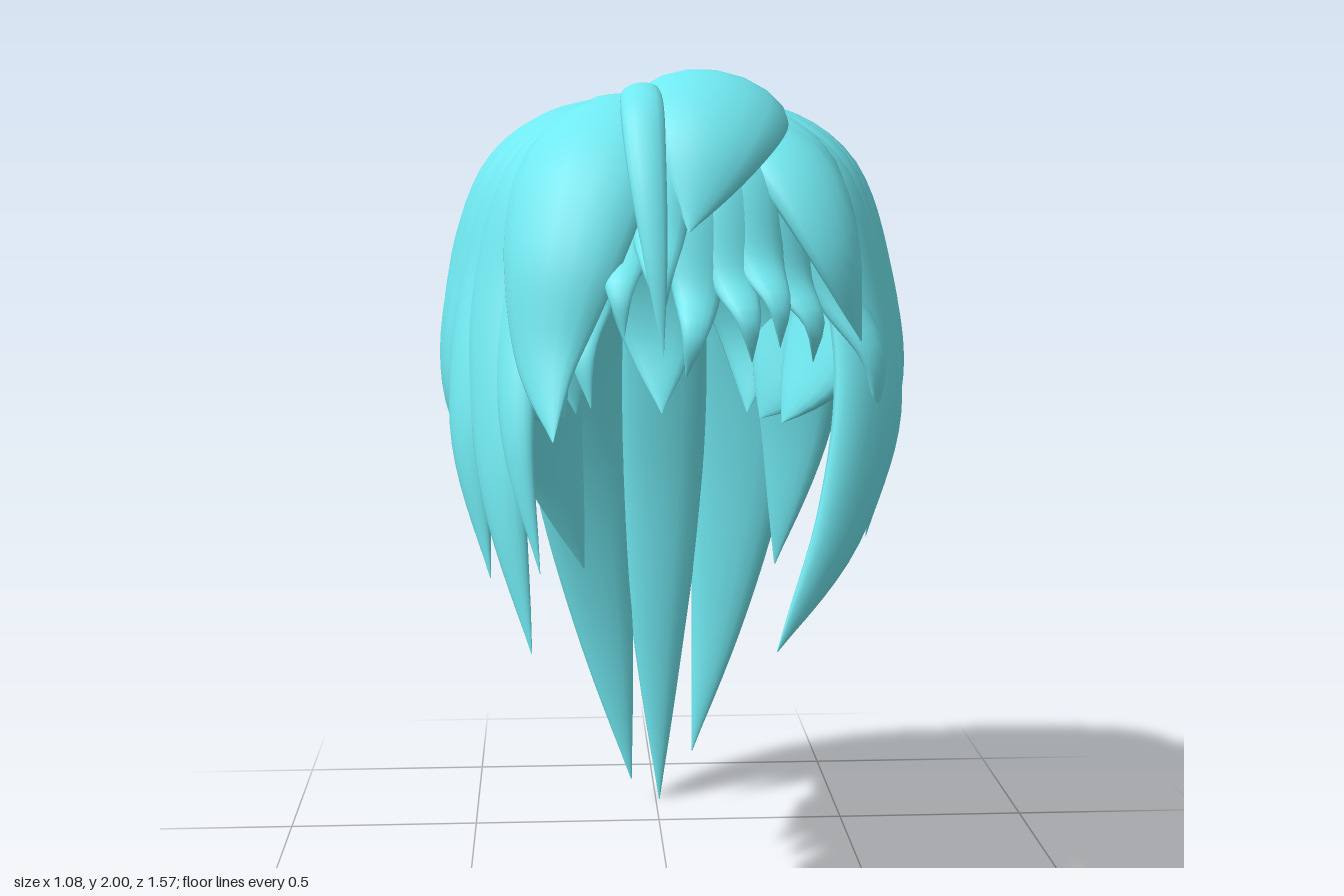
import * as THREE from 'three';

const material = new THREE.MeshStandardMaterial({ color: 0x70e8f0, side: THREE.DoubleSide });
const V = (x, y, z) => new THREE.Vector3(x, y, z);

// A tapering lock of hair swept along a path, its broad side facing away from the head
function lock(name, points, width, thick, peak = 0.48) {
  const rows = 32, sides = 16, pos = [], index = [];
  const curve = new THREE.CatmullRomCurve3(points.map(p => V(...p)), false, 'centripetal');
  for (let i = 0; i <= rows; i++) {
    const t = i / rows;
    const p = curve.getPointAt(t), tangent = curve.getTangentAt(t);
    const out = V(p.x, Math.max(0, p.y - 1.35), p.z - 0.03);
    out.addScaledVector(tangent, -out.dot(tangent)).normalize();
    const side = new THREE.Vector3().crossVectors(out, tangent);
    const grow = Math.pow(Math.sin(Math.min(1, t / peak) * Math.PI / 2), 0.65);
    const fade = t > peak ? 1 - Math.pow((t - peak) / (1 - peak), 1.6) : 1;
    const k = Math.max(0.01, grow * fade);
    for (let j = 0; j < sides; j++) {
      const a = j / sides * Math.PI * 2;
      const s = Math.cos(a) * width * k;
      const h = Math.sin(a) * thick * k - 0.9 * s * s;
      const q = p.clone().addScaledVector(side, s).addScaledVector(out, h);
      pos.push(q.x, q.y, q.z);
      if (i < rows) {
        const b = i * sides + j, c = i * sides + (j + 1) % sides;
        index.push(b, c, b + sides, c, c + sides, b + sides);
      }
    }
  }
  const geo = new THREE.BufferGeometry();
  geo.setAttribute('position', new THREE.Float32BufferAttribute(pos, 3));
  geo.setIndex(index);
  geo.computeVertexNormals();
  const mesh = new THREE.Mesh(geo, material);
  mesh.name = name;
  return mesh;
}

// Path from the crown over the scalp at an angle (0 = front, 90 = left) down to a tip
function scalpPath(angle, tip, scale = 1) {
  const a = angle * Math.PI / 180, dx = Math.sin(a), dz = Math.cos(a);
  const r = scale / Math.hypot(dx / 0.5, dz / (dz > 0 ? 0.55 : 0.62));
  const at = (f, y) => [dx * r * f, y, 0.05 + dz * r * f];
  const shoulder = at(0.97, Math.max(1.52, tip[1] + 0.17));
  const mid = shoulder.map((v, i) => (v + tip[i]) / 2);
  mid[0] += dx * 0.045;
  mid[2] += dz * 0.045;
  return [at(-0.04, 1.87), at(0.4, 1.9), at(0.78, 1.79), shoulder, mid, tip];
}

export function createModel() {
  const hair = new THREE.Group();
  hair.name = 'hair';
  const group = name => {
    const g = new THREE.Group();
    g.name = name;
    hair.add(g);
    return g;
  };

  // Three long locks hanging down the back
  const back = group('backHair');
  back.add(lock('backLockCentre', [[0, 1.86, 0.05], [0.02, 1.935, -0.18], [0.03, 1.79, -0.45],
    [0.03, 1.46, -0.63], [0.02, 1, -0.71], [0.01, 0.5, -0.71], [0.01, 0, -0.68]], 0.135, 0.075));
  back.add(lock('backLockRight', [[-0.02, 1.86, 0.05], [-0.12, 1.92, -0.18], [-0.2, 1.77, -0.43],
    [-0.23, 1.41, -0.61], [-0.21, 1, -0.69], [-0.15, 0.55, -0.7], [-0.07, 0.07, -0.65]], 0.16, 0.075));
  back.add(lock('backLockLeft', [[0.02, 1.86, 0.05], [0.13, 1.925, -0.18], [0.22, 1.77, -0.43],
    [0.25, 1.41, -0.61], [0.24, 1, -0.69], [0.18, 0.55, -0.7], [0.1, 0.15, -0.65]], 0.16, 0.075));

  // Short inner locks at the nape
  for (const [angle, x] of [[180, 0], [152, 0.22], [-152, -0.22]])
    back.add(lock('napeLock', scalpPath(angle, [x, 1.15, -0.34], 0.84), 0.16, 0.05, 0.6));

  // Side locks, mirrored: angle, tip, half width, half thickness, widest point, reach
  const sides = [
    [71, [0.44, 1.06, 0.24], 0.085, 0.05, 0.6, 0.98],
    [82, [0.44, 1.03, 0.12], 0.075, 0.055, 0.6, 0.965],
    [92, [0.43, 1.06, 0.02], 0.08, 0.05, 0.6, 0.975],
    [102, [0.4, 1.08, -0.07], 0.1, 0.055, 0.65, 0.985],
    [114, [0.29, 1.15, -0.15], 0.16, 0.06, 0.8, 1],
    [126, [0.25, 1.14, -0.3], 0.17, 0.055, 0.8, 1],
  ];
  for (const s of [1, -1]) {
    const g = group(s > 0 ? 'leftSideHair' : 'rightSideHair');
    for (const [angle, [x, y, z], w, t, peak, reach] of sides)
      g.add(lock('sideLock', scalpPath(angle * s, [x * s, y, z], reach), w, t, peak));
    g.add(lock('rearSideLock', scalpPath(131 * s, [0.33 * s, 1.17, -0.54], 1.04), 0.17, 0.06, 0.55));
  }

  // Locks that differ between the two sides
  const loose = group('templeHair');
  loose.add(lock('templeLockRight', scalpPath(-50, [-0.33, 0.76, 0.6]), 0.1, 0.045));
  loose.add(lock('templeLockRightInner', scalpPath(-42, [-0.31, 0.94, 0.62]), 0.07, 0.035));
  loose.add(lock('cheekLockRight', scalpPath(-61, [-0.42, 0.9, 0.47], 0.98), 0.09, 0.05, 0.55));
  loose.add(lock('templeLockLeft', [...scalpPath(54, [0.36, 1.06, 0.51]).slice(0, 4),
    [0.42, 1.28, 0.42], [0.35, 1.02, 0.51], [0.2, 0.76, 0.61]], 0.115, 0.045, 0.58));
  loose.add(lock('cheekLockLeft', scalpPath(63, [0.42, 0.97, 0.4], 0.98), 0.09, 0.05, 0.55));
  loose.add(lock('browLockLeft', scalpPath(45, [0.43, 1.24, 0.46], 0.98), 0.1, 0.05));
  loose.add(lock('rearLockRight', scalpPath(-141, [-0.2, 0.69, -0.59], 1.08), 0.19, 0.065));
  loose.add(lock('rearLockLeft', scalpPath(141, [0.32, 0.7, -0.57], 1.06), 0.17, 0.065));

  // Fringe: pointed locks below broad swept ones
  const fringe = group('fringe');
  for (const [angle, x, y, z] of [[-23, -0.2, 1.3, 0.65], [-14, -0.13, 1.45, 0.66],
    [-6, -0.05, 1.48, 0.64], [3, 0.0, 1.36, 0.63], [12, 0.14, 1.39, 0.62],
    [19, 0.2, 1.42, 0.61], [28, 0.28, 1.38, 0.53]])
    fringe.add(lock('fringePoint', scalpPath(angle, [x, y, z], 0.97), 0.07, 0.03, 0.62));
  fringe.add(lock('fringeLockRight', [[0, 1.87, 0.04], [-0.09, 1.915, 0.22], [-0.2, 1.82, 0.42],
    [-0.26, 1.62, 0.55], [-0.29, 1.4, 0.62], [-0.28, 1.24, 0.72]], 0.165, 0.055));
  fringe.add(lock('fringeLockLeft', [[0.02, 1.87, 0.04], [0.14, 1.89, 0.2], [0.26, 1.78, 0.4],
    [0.33, 1.62, 0.49], [0.39, 1.42, 0.49]], 0.12, 0.05));
  fringe.add(lock('sweptTopLock', [[0, 1.87, 0.02], [0.07, 1.94, 0.15], [0.08, 1.94, 0.32],
    [0.06, 1.85, 0.46], [0.01, 1.66, 0.57]], 0.17, 0.055, 0.5));

  // Loose strand arching forward from the top
  hair.add(lock('strand', [[-0.09, 1.88, 0.36], [-0.09, 1.95, 0.46], [-0.09, 1.93, 0.58],
    [-0.085, 1.81, 0.68], [-0.07, 1.62, 0.755], [-0.055, 1.42, 0.785]], 0.045, 0.02, 0.35));
  return hair;
}
